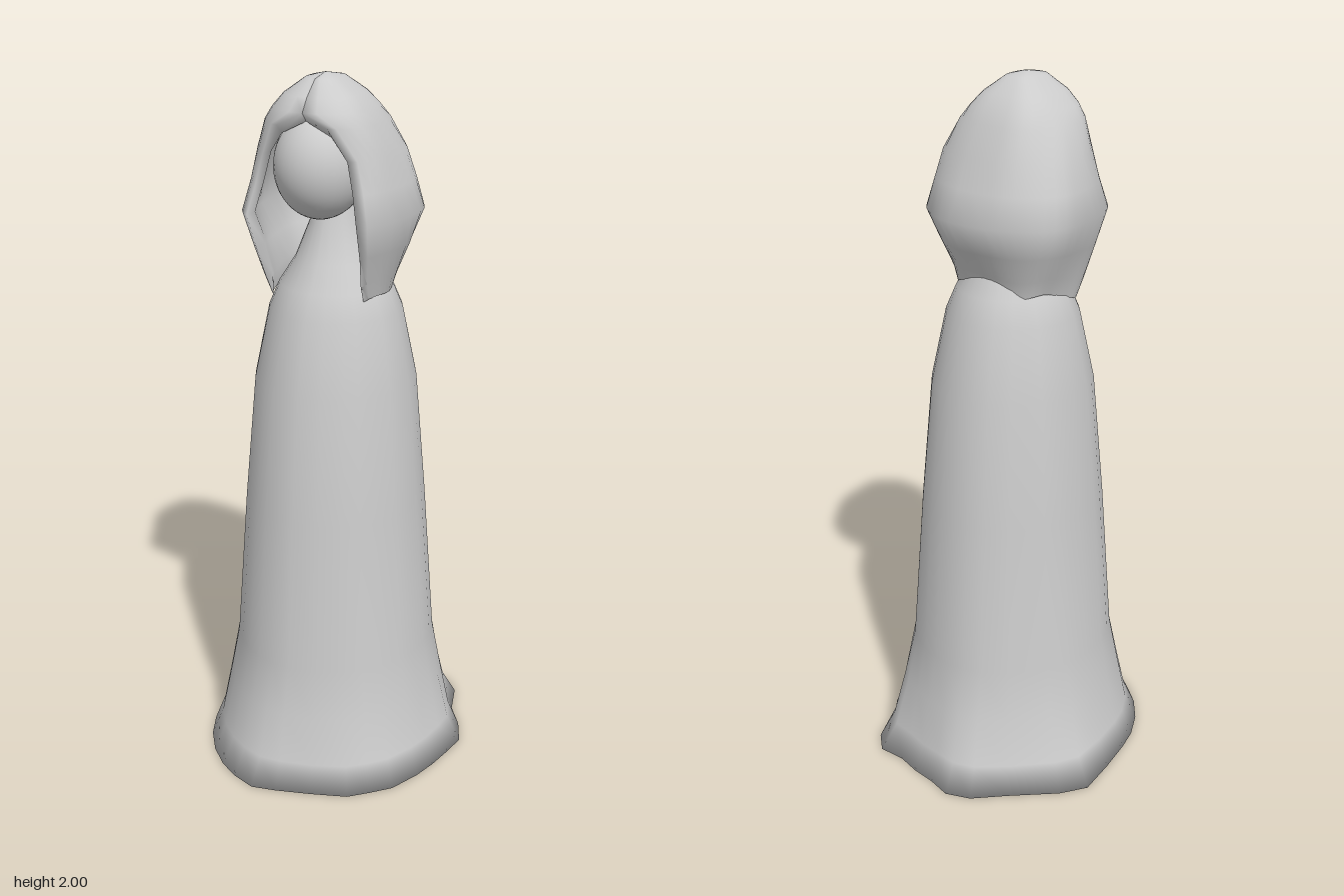
import * as THREE from 'three';

const material = new THREE.MeshStandardMaterial({ color: 0xcccccc, side: THREE.DoubleSide });

// Skin closed rings, listed from top to bottom, with smooth shared normals
function loft(rings, name) {
  const n = rings[0].length, index = [];
  for (let r = 0; r < rings.length - 1; r++) {
    for (let c = 0; c < n; c++) {
      const a = r * n + c, b = r * n + (c + 1) % n;
      index.push(a, a + n, b + n, a, b + n, b);
    }
  }
  const geometry = new THREE.BufferGeometry();
  geometry.setAttribute('position', new THREE.Float32BufferAttribute(rings.flat(2), 3));
  geometry.setIndex(index);
  geometry.computeVertexNormals();
  const mesh = new THREE.Mesh(geometry, material);
  mesh.name = name;
  return mesh;
}

// Uneven hem outline [x, z], running from the front round by +x
const hem = [
  [0, .4], [.1, .37], [.2, .335], [.25, .29], [.3, .24], [.34, .15], [.36, .08], [.375, 0],
  [.385, -.07], [.35, -.15], [.3, -.22], [.27, -.32], [.22, -.37], [.14, -.37], [.07, -.39],
  [0, -.4], [-.07, -.42], [-.14, -.395], [-.22, -.32], [-.335, -.22], [-.385, -.15],
  [-.375, -.03], [-.36, .08], [-.345, .15], [-.31, .23], [-.26, .3], [-.2, .355],
  [-.14, .39], [-.07, .415],
];

// Robe rings: height, half width, half depth, share of the hem's unevenness
function makeRobe() {
  const profile = [
    [1.7, .055, .055, 0], [1.6, .07, .075, 0], [1.5, .11, .115, 0], [1.43, .155, .155, 0],
    [1.36, .185, .185, 0], [1.16, .225, .235, 0], [.8, .255, .275, 0], [.36, .288, .308, .08],
    [.22, .315, .34, .3], [.08, .345, .372, .6], [0, .38, .41, 1], [0, .18, .2, .5], [0, 0, 0, 0],
  ];
  const rings = profile.map(([y, rx, rz, k]) => hem.map(([hx, hz]) => {
    const t = Math.atan2(hx / .38, hz / .41);
    const ex = rx * Math.sin(t), ez = rz * Math.cos(t);
    return [ex + (hx * rx / .38 - ex) * k, y, ez + (hz * rz / .41 - ez) * k];
  }));
  return loft(rings, 'robe');
}

const power = (v, e) => Math.sign(v) * Math.abs(v) ** e;

// Hood rings: height, half width, front z, back z, half width of opening, thickness
function makeHood() {
  const profile = [
    [2, .004, .064, .056, 0, .001], [1.99, .045, .12, 0, 0, .01], [1.95, .1, .165, -.05, 0, .025],
    [1.915, .13, .19, -.08, 0, .03], [1.88, .155, .2, -.1, .07, .03],
    [1.8, .19, .2, -.14, .12, .035], [1.72, .212, .21, -.165, .137, .035],
    [1.64, .23, .235, -.2, .155, .035], [1.55, .2, .205, -.165, .15, .03],
    [1.47, .172, .175, -.13, .14, .02], [1.42, .158, .15, -.118, .135, 0],
  ];
  const columns = 32, squareness = .75;
  const rings = profile.map(([y, w, front, back, gap, thick], row) => {
    const mid = (front + back) / 2, ring = [];
    const low = THREE.MathUtils.smoothstep(row, 7, 10);
    // Outer shell goes round the back, inner shell returns to the opening
    for (const inset of [0, thick]) {
      const rx = w - inset, rz = (front - back) / 2 - inset * .7;
      const start = Math.asin(Math.min(gap / rx, .93) ** (1 / squareness));
      for (let i = 0; i <= columns; i++) {
        const u = inset || (thick === 0 && ring.length > columns) ? columns - i : i;
        const t = start + (2 * Math.PI - 2 * start) * u / columns;
        const fold = 1 + .025 * Math.sin(5 * t + row * .7) * Math.min(1, row / 4);
        const drop = low * (.025 * Math.cos(t) + .012 * Math.sin(4 * t));
        ring.push([
          rx * fold * power(Math.sin(t), squareness),
          y - inset * .8 * (row < 5 ? 1 : 0) - drop,
          mid + rz * fold * power(Math.cos(t), squareness),
        ]);
      }
    }
    return ring;
  });
  return loft(rings, 'hood');
}

export function createModel() {
  const model = new THREE.Group();
  model.name = 'hoodedFigure';

  // Smooth, featureless head
  const head = new THREE.Mesh(new THREE.SphereGeometry(1, 32, 24), material);
  head.name = 'head';
  head.scale.set(.123, .142, .13);
  head.position.set(0, 1.765, .09);

  model.add(makeRobe(), head, makeHood());
  return model;
}
